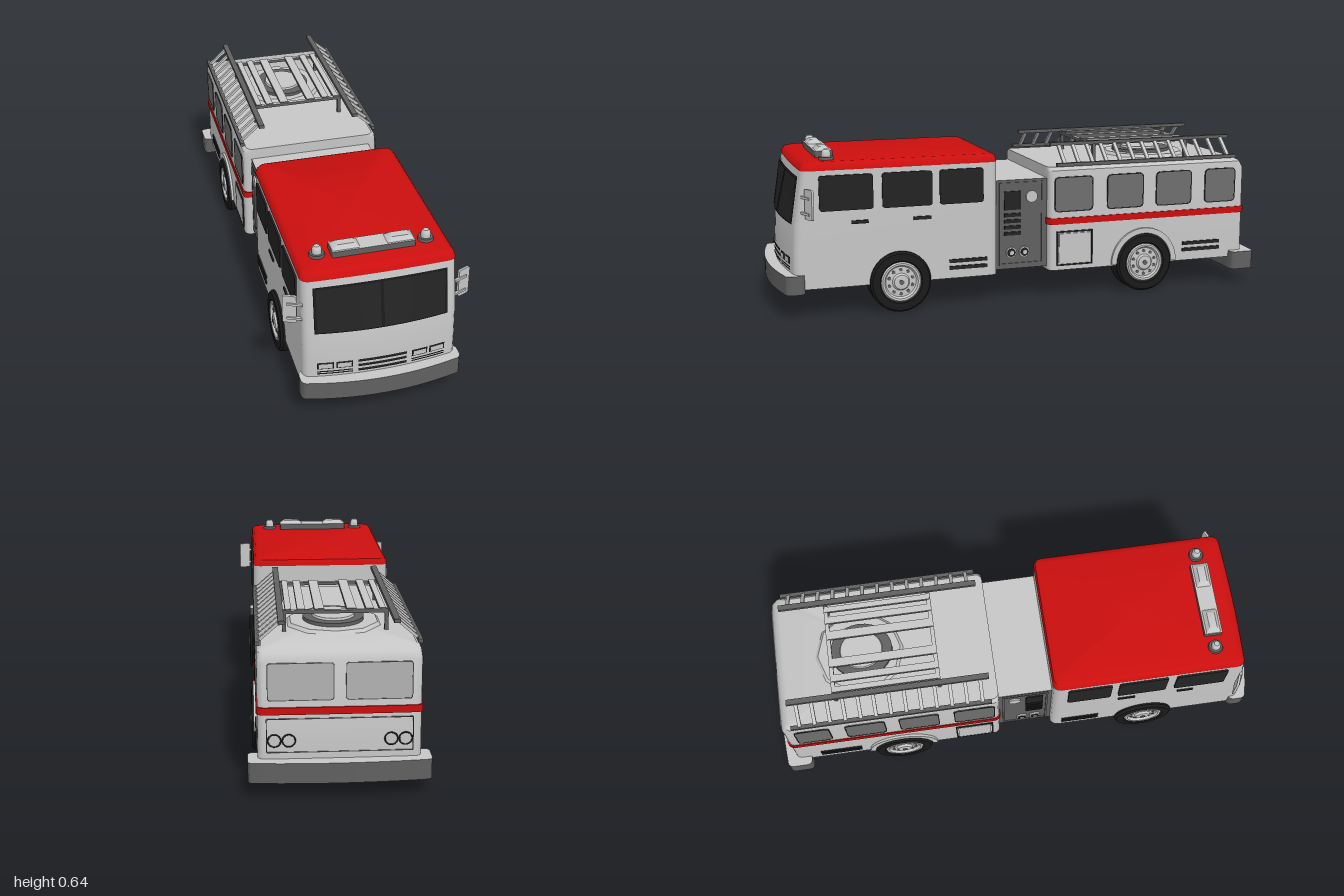
import * as THREE from 'three';
import { toCreasedNormals } from 'three/addons/utils/BufferGeometryUtils.js';

const mat = (name, color, side = THREE.FrontSide) => {
  const m = new THREE.MeshStandardMaterial({ color, side });
  m.name = name;
  return m;
};

export function createModel() {
  const body = mat('light body', 0xc6c6c6);
  const red = mat('red paint', 0xcc0e0e);
  const trim = mat('grey trim', 0x606060);
  const black = mat('black glass', 0x232323);
  const rubber = mat('tyre rubber', 0x1a1a1a);
  const pane = mat('grey window', 0x6e6e6e);
  const panel = mat('pale panel', 0xb2b2b2);
  const root = new THREE.Group();

  const add = (name, geo, material, x = 0, y = 0, z = 0, parent = root) => {
    const m = new THREE.Mesh(geo, material);
    m.name = name;
    m.position.set(x, y, z);
    parent.add(m);
    return m;
  };
  const box = (name, m, sx, sy, sz, x, y, z) => add(name, new THREE.BoxGeometry(sx, sy, sz), m, x, y, z);
  const bothSides = fn => [1, -1].forEach(fn);

  // Plan outline of a rounded body with bowed ends, counter-clockwise from above
  function outline({ w, zf, zb, kf = 0, kb = 0, r = 0.03 }) {
    const half = k => {
      const pts = [], e = w - r;
      for (let i = 0; i <= 12; i++) {
        const x = -e + (2 * e * i) / 12;
        pts.push([x, k * x * x]);
      }
      for (let i = 1; i <= 4; i++) {
        const a = (i * Math.PI) / 8;
        const x = e + r * Math.sin(a), d = k * e * e + r * (1 - Math.cos(a));
        pts.push([x, d]);
        pts.unshift([-x, d]);
      }
      return pts;
    };
    return [...half(kf).map(([x, d]) => [x, zf - d]), ...half(kb).reverse().map(([x, d]) => [x, zb + d])];
  }

  // Stack of outlines with caps; materials are [sides, bottom, top]
  function loft(name, levels, mats, x = 0, y = 0, z = 0) {
    const pos = [], idx = [], rings = levels.map(outline), n = rings[0].length;
    rings.forEach((ring, j) => ring.forEach(p => pos.push(p[0], levels[j].y, p[1])));
    for (let j = 0; j + 1 < rings.length; j++)
      for (let i = 0; i < n; i++) {
        const a = j * n + i, b = j * n + (i + 1) % n;
        idx.push(a, b, b + n, a, b + n, a + n);
      }
    const sides = idx.length, last = levels.length - 1;
    [0, last].forEach(j => {
      const c = pos.length / 3;
      pos.push(0, levels[j].y, (levels[j].zf + levels[j].zb) / 2);
      for (let i = 0; i < n; i++) {
        const a = j * n + i, b = j * n + (i + 1) % n;
        idx.push(c, j ? a : b, j ? b : a);
      }
    });
    const g = new THREE.BufferGeometry();
    g.setAttribute('position', new THREE.Float32BufferAttribute(pos, 3));
    g.setIndex(idx);
    g.addGroup(0, sides, 0);
    g.addGroup(sides, n * 3, 1);
    g.addGroup(sides + n * 3, n * 3, 2);
    return add(name, toCreasedNormals(g, 0.6), mats, x, y, z);
  }

  // Rounded plate, or a frame when t > 0
  function plate(w, h, r = 0.01, t = 0, depth = 0.006) {
    const trace = (s, a, b, q) => {
      s.moveTo(-a + q, -b); s.lineTo(a - q, -b); s.quadraticCurveTo(a, -b, a, -b + q);
      s.lineTo(a, b - q); s.quadraticCurveTo(a, b, a - q, b); s.lineTo(-a + q, b);
      s.quadraticCurveTo(-a, b, -a, b - q); s.lineTo(-a, -b + q); s.quadraticCurveTo(-a, -b, -a + q, -b);
      return s;
    };
    const s = trace(new THREE.Shape(), w / 2, h / 2, r);
    if (t) s.holes.push(trace(new THREE.Path(), w / 2 - t, h / 2 - t, Math.max(r - t, 0.001)));
    return new THREE.ExtrudeGeometry(s, { depth, bevelEnabled: false, curveSegments: 4 });
  }
  // Plate on a flank, given by its z and y ranges
  const flank = (name, m, z0, z1, y0, y1, opt = {}) => bothSides(s => {
    const { x = 0.284, r = 0.002, t = 0, depth = 0.006 } = opt;
    add(name, plate(Math.abs(z1 - z0), y1 - y0, r, t, depth), m, s * x, (y0 + y1) / 2, (z0 + z1) / 2).rotation.y = s * Math.PI / 2;
  });

  // Cab shell and roof
  const cabLevels = [
    { y: 0.115, w: 0.285, zf: 0.955, kf: 0.35 }, { y: 0.24, w: 0.285, zf: 0.955, kf: 0.35 },
    { y: 0.36, w: 0.285, zf: 0.947, kf: 0.35 }, { y: 0.568, w: 0.283, zf: 0.9, kf: 0.1 },
  ].map(l => ({ zb: 0.13, ...l }));
  loft('cab', cabLevels, [body, rubber, body]);
  loft('cabRoof', [
    { y: 0.566, w: 0.284, zf: 0.902, zb: 0.129, kf: 0.1 }, { y: 0.58, w: 0.281, zf: 0.896, zb: 0.131, kf: 0.08 },
    { y: 0.591, w: 0.272, zf: 0.885, zb: 0.135, kf: 0.06 }, { y: 0.596, w: 0.255, zf: 0.868, zb: 0.145, kf: 0.04 },
  ], [red, red, red]);

  // Curved plates that follow the cab front
  const frontZ = (x, y) => {
    let i = 0;
    while (i < 2 && y > cabLevels[i + 1].y) i++;
    const a = cabLevels[i], b = cabLevels[i + 1], f = (y - a.y) / (b.y - a.y);
    const mix = THREE.MathUtils.lerp;
    return mix(a.zf, b.zf, f) - mix(a.kf, b.kf, f) * x * x;
  };
  const frontPatch = (name, m, x0, x1, y0, y1, off = 0.004) => {
    const g = new THREE.PlaneGeometry(x1 - x0, y1 - y0, 12, 4).translate((x0 + x1) / 2, (y0 + y1) / 2, 0);
    const p = g.attributes.position;
    for (let i = 0; i < p.count; i++) p.setZ(i, frontZ(p.getX(i), p.getY(i)) + off);
    g.computeVertexNormals();
    add(name, g, m);
  };
  frontPatch('windscreenSurround', rubber, -0.245, 0.245, 0.362, 0.542);
  frontPatch('windscreenRight', black, -0.235, -0.006, 0.368, 0.535, 0.007);
  frontPatch('windscreenLeft', black, 0.006, 0.235, 0.368, 0.535, 0.007);
  [0.191, 0.2115, 0.232].forEach(y => frontPatch('grilleSlat', black, -0.09, 0.09, y - 0.0055, y + 0.0055));
  bothSides(s => {
    const span = (name, m, a, b, y0, y1, off) => frontPatch(name, m, Math.min(s * a, s * b), Math.max(s * a, s * b), y0, y1, off);
    [0.11, 0.178].forEach(a => {
      span('headlightFrame', black, a, a + 0.06, 0.208, 0.237);
      span('headlight', body, a + 0.004, a + 0.056, 0.212, 0.233, 0.008);
    });
    [0.188, 0.197].forEach(y => span('headlightTrim', black, 0.11, 0.238, y - 0.0025, y + 0.0025));
  });

  // Cab flanks
  [[0.83, 0.625], [0.59, 0.395], [0.365, 0.19]].forEach(([a, b]) =>
    flank('cabWindow', black, a, b, 0.412, 0.547, { r: 0.012, x: 0.282, depth: 0.008 }));
  [[0.71, 0.645], [0.47, 0.4]].forEach(([a, b]) => flank('doorHandle', black, a, b, 0.358, 0.371));
  [[0.33, 0.175], [-0.67, -0.84]].forEach(([a, b]) => [0.15, 0.177].forEach(y =>
    flank('vent', black, a, b, y, y + 0.014)));

  // Pump section
  loft('pumpSection', [0.125, 0.485].map(y => ({ y, w: 0.25, zf: 0.14, zb: -0.1, r: 0.002 })), [trim, rubber, body]);
  flank('pumpFrame', trim, 0.115, -0.07, 0.14, 0.475, { x: 0.249, t: 0.008 });
  flank('pumpDisplay', black, 0.095, 0.025, 0.365, 0.44, { x: 0.249 });
  [0.27, 0.295, 0.32, 0.345].forEach(y => flank('pumpSlat', black, 0.095, 0.025, y - 0.008, y + 0.006, { x: 0.249 }));
  bothSides(s => {
    const round = (name, m, r, x, y, z) => {
      add(name, new THREE.CylinderGeometry(r, r, 0.01, 20), m, s * x, y, z).rotation.z = Math.PI / 2;
    };
    round('gauge', body, 0.024, 0.252, 0.415, -0.02);
    [0.065, 0.01].forEach(z => {
      round('valveRing', body, 0.022, 0.252, 0.192, z);
      round('valveSeat', black, 0.017, 0.254, 0.192, z);
      round('valveCap', body, 0.009, 0.257, 0.192, z);
    });
  });

  // Rear body, stripe and flank details
  loft('rearBody', [
    { y: 0.112, w: 0.285, zb: -0.952 }, { y: 0.49, w: 0.285, zb: -0.95 }, { y: 0.517, w: 0.282, zb: -0.935 },
    { y: 0.53, w: 0.268, zb: -0.915 },
  ].map(l => ({ zf: -0.085, kb: 0.03, r: 0.025, ...l })), [body, rubber, body]);
  loft('redStripe', [0.3, 0.326].map(y => ({ y, w: 0.289, zf: -0.081, zb: -0.956, kb: 0.03, r: 0.025 })), [red, red, red]);
  [[-0.105, -0.27], [-0.33, -0.49], [-0.545, -0.705], [-0.765, -0.905]].forEach(([a, b]) => {
    flank('rearWindow', pane, a, b, 0.35, 0.492, { r: 0.02, x: 0.282 });
    flank('rearWindowSeal', black, a, b, 0.35, 0.492, { r: 0.02, t: 0.004, x: 0.283 });
  });
  flank('lockerSeal', black, -0.115, -0.27, 0.13, 0.272, { t: 0.006 });
  flank('lockerDoor', body, -0.125, -0.26, 0.14, 0.262);

  // Back face: windows, lower panel and lamps
  const back = (name, geo, m, x, y, z = -0.948) => { add(name, geo, m, x, y, z).rotation.y = Math.PI; };
  back('lowerPanelSeam', plate(0.51, 0.125, 0.006, 0.003), trim, 0, 0.223);
  bothSides(s => {
    back('backWindow', plate(0.23, 0.135, 0.012), panel, s * 0.135, 0.417, -0.946);
    back('backWindowSeal', plate(0.23, 0.135, 0.012, 0.003), trim, s * 0.135, 0.417, -0.947);
    [0.177, 0.227].forEach(x => {
      back('tailLamp', new THREE.CylinderGeometry(0.021, 0.021, 0.012, 20).rotateX(Math.PI / 2), body, s * x, 0.207, -0.952);
      back('tailLampRing', new THREE.TorusGeometry(0.022, 0.003, 6, 20), black, s * x, 0.207, -0.957);
    });
  });

  // Bumpers
  loft('frontBumper', [0.1, 0.173].map(y => ({ y, w: 0.299, zf: 1, zb: 0.89, kf: 0.45, r: 0.025 })), [trim, rubber, body]);
  loft('rearBumper', [0.064, 0.138].map(y => ({ y, w: 0.32, zf: -0.885, zb: -1, kb: 0.15, r: 0.02 })), [trim, rubber, body]);

  // Wheels and rear arches
  const lathe = pts => toCreasedNormals(new THREE.LatheGeometry(pts.map(p => new THREE.Vector2(...p)), 36), 0.5);
  const tyre = lathe([[0, 0], [0.112, 0], [0.12, 0.01], [0.12, 0.082], [0.112, 0.092], [0.084, 0.093], [0.076, 0.084]]);
  const rim = lathe([[0.08, 0.086], [0.074, 0.093], [0.066, 0.092], [0.06, 0.082], [0.034, 0.084], [0.028, 0.093], [0.015, 0.095], [0, 0.095]]);
  bothSides(s => {
    [0.525, -0.495].forEach(z => {
      const wheel = new THREE.Group();
      wheel.name = 'wheel';
      wheel.position.set(s * 0.21, 0.12, z);
      wheel.rotation.z = -s * Math.PI / 2;
      root.add(wheel);
      add('tyre', tyre, rubber, 0, 0, 0, wheel);
      add('rim', rim, body, 0, 0, 0, wheel);
      add('hubCap', new THREE.CylinderGeometry(0.01, 0.01, 0.006, 12), trim, 0, 0.095, 0, wheel);
      for (let i = 0; i < 10; i++) {
        const a = (i * Math.PI) / 5;
        add('rimHole', new THREE.CylinderGeometry(0.007, 0.007, 0.004, 8), trim, 0.048 * Math.cos(a), 0.083, 0.048 * Math.sin(a), wheel);
      }
    });
    const arch = new THREE.Shape();
    arch.absarc(0, 0, 0.143, 0, Math.PI, false);
    arch.absarc(0, 0, 0.121, Math.PI, 0, true);
    add('wheelArch', new THREE.ExtrudeGeometry(arch, { depth: 0.012, bevelEnabled: false, curveSegments: 20 }), body, s * 0.283, 0.12, -0.495).rotation.y = s * Math.PI / 2;
  });

  // Mirrors
  bothSides(s => {
    const m = add('mirror', plate(0.05, 0.115, 0.008, 0, 0.009), body, s * 0.318, 0.447, 0.868);
    m.rotation.y = s * 0.4;
    [0.411, 0.471].forEach(y => box('mirrorArm', body, 0.055, 0.009, 0.01, s * 0.304, y, 0.884).rotation.y = s * 0.4);
  });

  // Roof lights
  loft('lightBar', [0.593, 0.62].map(y => ({ y, w: 0.152, zf: 0.82, zb: 0.75, r: 0.004 })), [trim, trim, body]);
  const dome = lathe([[0.018, 0], [0.018, 0.012], [0.016, 0.022], [0.01, 0.03], [0, 0.033]]);
  bothSides(s => {
    loft('barLens', [
      { y: 0.62, w: 0.05, zf: 0.028, zb: -0.028, r: 0.002 }, { y: 0.635, w: 0.032, zf: 0.015, zb: -0.015, r: 0.002 },
    ], [body, body, body], s * 0.1, 0, 0.785);
    add('beaconBase', new THREE.CylinderGeometry(0.027, 0.03, 0.013, 20), trim, s * 0.2, 0.6, 0.785);
    add('beacon', dome, body, s * 0.2, 0.605, 0.785);
  });

  // Ladders leaning outwards along both roof edges
  bothSides(s => {
    box('ladderUpperRail', trim, 0.022, 0.014, 0.79, s * 0.198, 0.612, -0.51);
    box('ladderLowerRail', trim, 0.016, 0.014, 0.79, s * 0.28, 0.54, -0.51);
    for (let i = 0; i < 13; i++)
      box('ladderRung', body, 0.109, 0.01, 0.014, s * 0.239, 0.576, -0.15 - i * 0.06).rotation.z = -s * 0.72;
    [-0.31, -0.72].forEach(z => box('rackPost', trim, 0.014, 0.08, 0.014, s * 0.182, 0.568, z));
  });

  // Roof rack slats, with pale tops
  const slatMats = [trim, trim, body, trim, trim, trim];
  [-0.31, -0.72].forEach(z => box('rackCrossbar', slatMats, 0.38, 0.012, 0.016, 0, 0.6, z));
  bothSides(s => [[0.0575, 0.035], [0.122, 0.028], [0.168, 0.022]].forEach(([x, w]) =>
    box('rackSlat', slatMats, w, 0.014, 0.42, s * x, 0.604, -0.515)));

  // Roof hatch under the rack
  add('hatchBase', new THREE.CylinderGeometry(0.165, 0.178, 0.014, 10), body, 0, 0.535, -0.61);
  const ring = add('hatchRing', new THREE.CylinderGeometry(0.112, 0.112, 0.014, 28), trim, 0, 0.548, -0.6);
  ring.scale.z = 1.1;
  add('hatchLid', new THREE.CylinderGeometry(0.075, 0.082, 0.02, 28), body, 0, 0.553, -0.6).scale.z = 1.1;

  return root;
}
